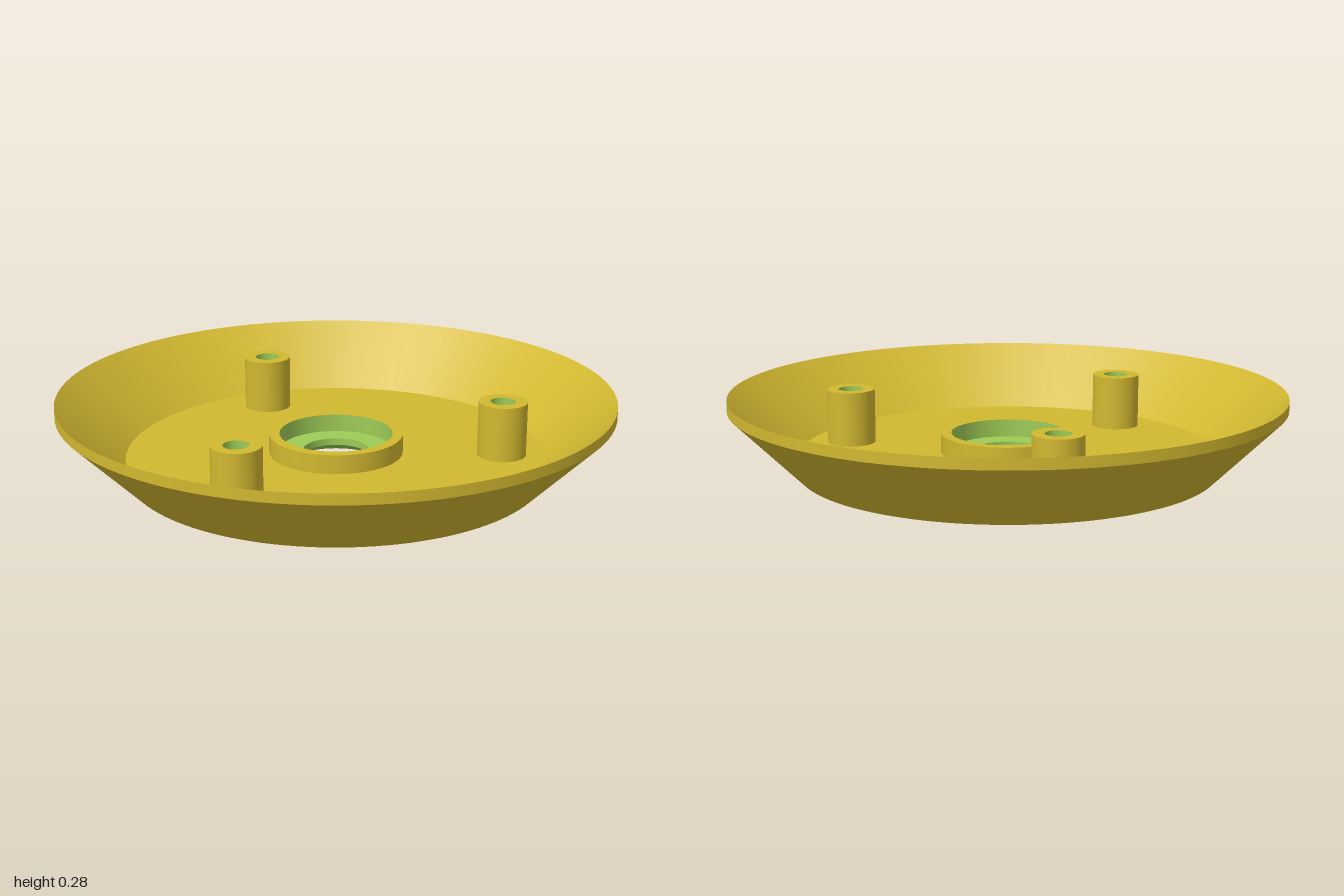
import * as THREE from 'three';
import { mergeGeometries } from 'three/addons/utils/BufferGeometryUtils.js';

const FLOOR = 0.055, FLOOR_R = 0.76;
const POST_TOP = 0.255, POST_R = 0.088, BORE_R = 0.045;
// Three posts, evenly spaced on a circle, as [x, z]
const posts = [0, 1, 2].map((i) => {
  const a = -Math.PI / 2 + (i * 2 * Math.PI) / 3;
  return [0.6 * Math.cos(a), 0.6 * Math.sin(a)];
});

// Revolved profile with a crisp edge at every point
function revolve(points, segments = 128) {
  const bands = [];
  for (let i = 0; i < points.length - 1; i++) {
    const pair = [points[i], points[i + 1]].map(([r, y]) => new THREE.Vector2(r, y));
    bands.push(new THREE.LatheGeometry(pair, segments));
  }
  return mergeGeometries(bands);
}

// Flat disc with a centre hole and three small holes; up = 1 or -1
function disc(centreR, smallR, y, up) {
  const shape = new THREE.Shape().absarc(0, 0, FLOOR_R, 0, Math.PI * 2);
  const cut = (x, z, r) =>
    shape.holes.push(new THREE.Path().absarc(x, -up * z, r, 0, Math.PI * 2, true));
  cut(0, 0, centreR);
  posts.forEach(([x, z]) => cut(x, z, smallR));
  return new THREE.ShapeGeometry(shape, 64).rotateX((-up * Math.PI) / 2).translate(0, y, 0);
}

export function createModel() {
  const gold = new THREE.MeshStandardMaterial({ color: 0xd2b830 });
  gold.name = 'gold';
  const green = new THREE.MeshStandardMaterial({ color: 0x9dcb56 });
  green.name = 'cut green';

  const group = new THREE.Group();
  group.name = 'dish';
  const add = (name, geometry, material, x = 0, z = 0) => {
    const mesh = new THREE.Mesh(geometry, material);
    mesh.name = name;
    mesh.position.set(x, 0, z);
    group.add(mesh);
  };

  // Flared wall with a thin upright lip
  add('flaredWall', revolve([[FLOOR_R, 0], [1, 0.24], [1, 0.278], [FLOOR_R, FLOOR]]), gold);

  // Floor faces
  add('floorTop', disc(0.243, POST_R, FLOOR, 1), gold);
  add('floorUnderside', disc(0.18, BORE_R, 0, -1), gold);

  // Central hub: raised collar, stepped pocket and countersunk hole
  add('hubCollar', revolve([[0.243, FLOOR], [0.243, 0.125], [0.205, 0.125]]), gold);
  add('hubBore', revolve([[0.205, 0.125], [0.205, 0.06], [0.12, 0.06], [0.12, 0.035], [0.18, 0]]), green);

  // Hollow posts, bored right through the floor
  posts.forEach(([x, z]) => {
    add('post', revolve([[POST_R, FLOOR], [POST_R, POST_TOP], [BORE_R, POST_TOP]], 64), gold, x, z);
    add('postBore', revolve([[BORE_R, POST_TOP], [BORE_R, 0]], 64), green, x, z);
  });

  return group;
}
